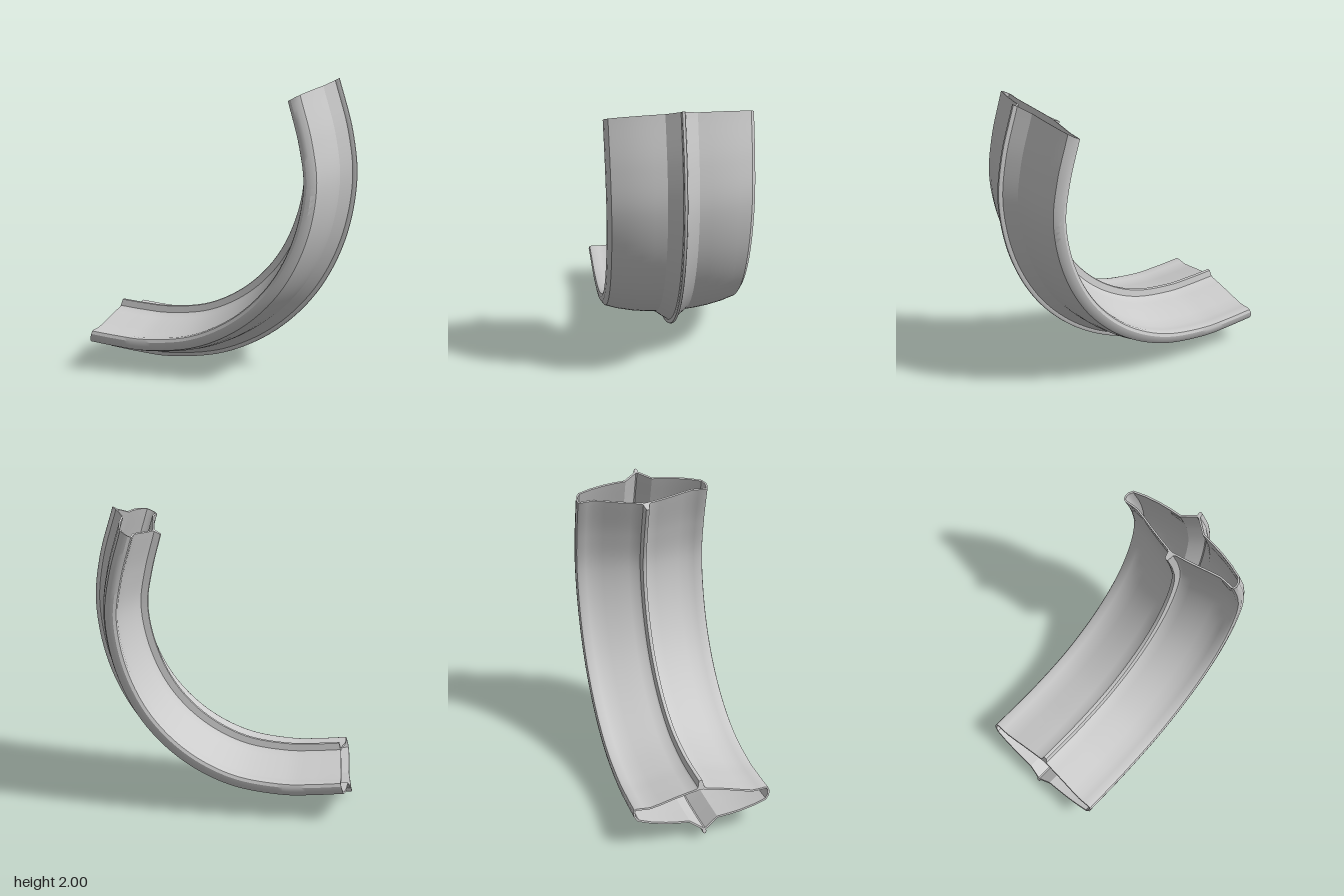
import * as THREE from 'three';
import { toCreasedNormals } from 'three/addons/utils/BufferGeometryUtils.js';

const STEPS = 72;
const WALL = 0.012;
const DEPTH = 0.374;
const { clamp } = THREE.MathUtils;

// Rails of the bend: a circular middle running out into flatter ends
const CENTRE = [-0.45, 1.33];
const arc = (radius) => [-72, -54, -36, -18].map((degrees) => {
  const a = THREE.MathUtils.degToRad(degrees);
  return [CENTRE[0] + radius * Math.cos(a), CENTRE[1] + radius * Math.sin(a)];
});
const rail = (points) =>
  new THREE.CatmullRomCurve3(points.map(([x, y]) => new THREE.Vector3(x, y, 0)));
const keelRail = rail([
  [-0.9, 0.035], [-0.68, 0.011], [-0.45, 0], ...arc(1.33),
  [0.89, 1.33], [0.857, 1.656], [0.76, 2],
]);
const ridgeRail = rail([
  [-0.8, 0.392], [-0.63, 0.378], [-0.45, 0.372], ...arc(0.962),
  [0.525, 1.33], [0.494, 1.566], [0.43, 1.82],
]);

// Sweeps a section (z across, s depth from the keel towards the ridge) along the rails
function sweep(section) {
  return Array.from({ length: STEPS + 1 }, (_, j) => {
    const a = keelRail.getPoint(j / STEPS);
    const b = ridgeRail.getPoint(j / STEPS);
    return section.map(([z, s]) => {
      const p = a.clone().lerp(b, s / DEPTH);
      return [p.x, p.y, z];
    });
  });
}

// Skin over rows of points
function skin(rows) {
  const n = rows[0].length;
  const index = [];
  for (let j = 0; j < rows.length - 1; j++) {
    for (let i = 0; i < n - 1; i++) {
      const a = j * n + i, b = a + n;
      index.push(a, b, a + 1, b, b + 1, a + 1);
    }
  }
  const geometry = new THREE.BufferGeometry();
  geometry.setAttribute('position', new THREE.Float32BufferAttribute(rows.flat(2), 3));
  geometry.setIndex(index);
  return toCreasedNormals(geometry, 0.5);
}

export function createModel() {
  const group = new THREE.Group();
  const material = new THREE.MeshStandardMaterial({ color: 0xcccccc, side: THREE.DoubleSide });

  // Half section: outer keel, outer wall, chamfered rim, inner wall, inner ridge
  const half = [
    [0, 0], [0.008, 0.002], [0.012, 0.01], [0.013, 0.03], [0.1, 0.095],
    [0.18, 0.102], [0.26, 0.113], [0.36, 0.135], [0.445, 0.163],
    [0.468, 0.195], [0.472, 0.225], [0.464, 0.246], [0.445, 0.252], [0.4, 0.248],
    [0.354, 0.246], [0.28, 0.262], [0.2, 0.282], [0.1, 0.304], [0.035, 0.316],
    [0.022, 0.326], [0.012, 0.371], [0, DEPTH],
  ];
  const mirrored = half.slice(0, -1).reverse().map(([z, s]) => [-z, s]);
  const outer = [...half, ...mirrored];

  // Inside of the wall: section offset inwards, solid in the keel and the ridge
  const count = outer.length - 1;
  const inner = outer.map(([z, s], i) => {
    const p = outer[(i - 1 + count) % count];
    const q = outer[(i + 1) % count];
    const dz = q[0] - p[0], ds = q[1] - p[1];
    const len = Math.hypot(dz, ds);
    const iz = z - (ds / len) * WALL;
    const side = i < half.length ? 1 : -1;
    return [side * Math.max(0, side * iz), clamp(s + (dz / len) * WALL, 0.04, 0.31)];
  });

  // Hollow curved body: out along the outside, back along the inside
  const outside = sweep(outer);
  const inside = sweep(inner).reverse();
  const body = new THREE.Mesh(skin([...outside, ...inside, outside[0]]), material);
  body.name = 'curvedShell';
  group.add(body);

  return group;
}
